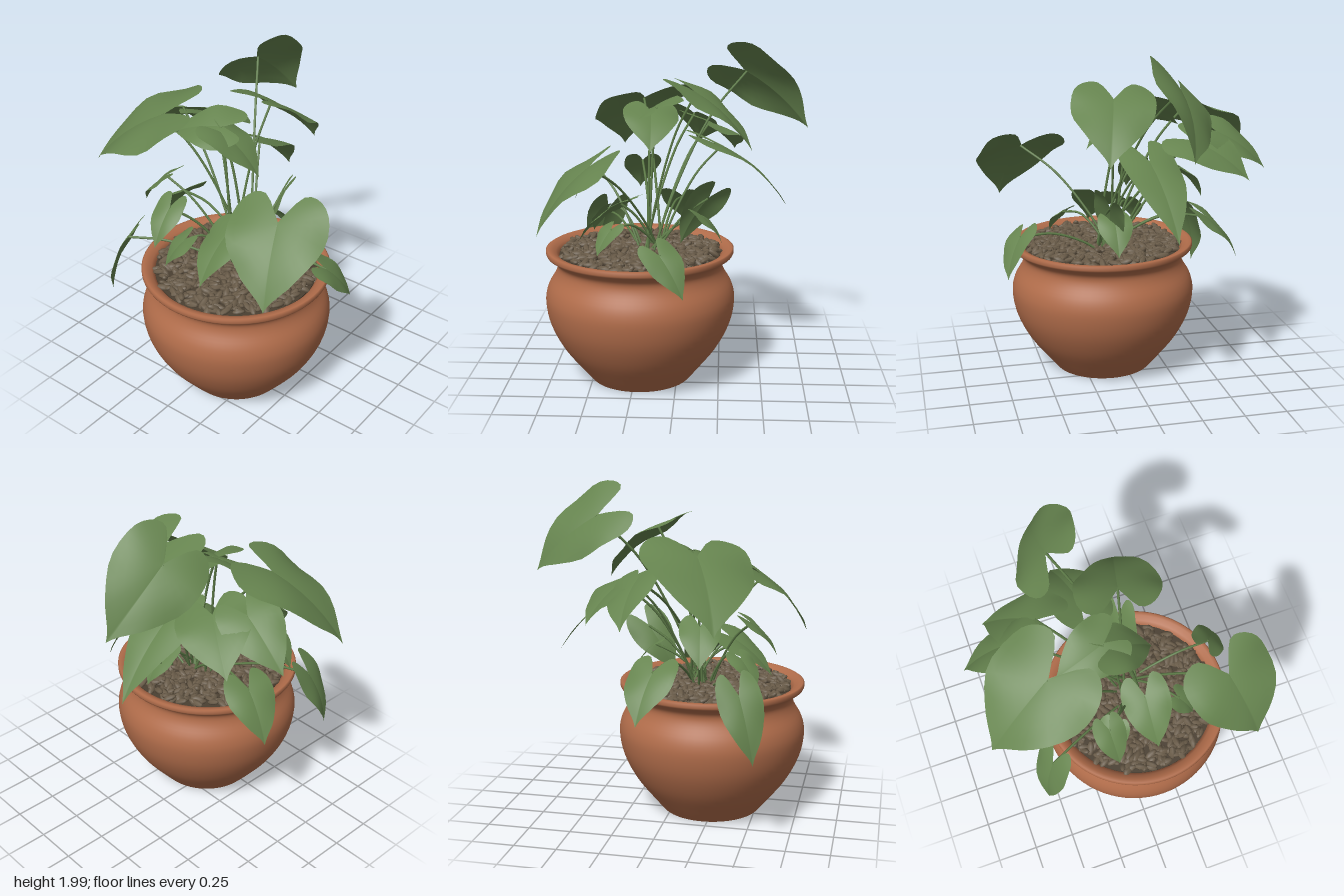
import * as THREE from 'three';
import { mergeGeometries } from 'three/addons/utils/BufferGeometryUtils.js';

const V = (a) => new THREE.Vector3(...a);
const points2 = (list) => list.map((p) => new THREE.Vector2(...p));
const UP = new THREE.Vector3(0, 1, 0);
const CROWN = new THREE.Vector3(0.1, 0.74, 0.15); // where the stems gather
const CX = 0.11, CZ = 0.22; // pot axis

// Heart-shaped half outline: [across, along], stem joint at the origin, tip at along = 1
const HALF = points2([[0, 1], [0.14, 0.88], [0.56, 0.63], [0.96, 0.26], [0.98, -0.12],
  [0.74, -0.33], [0.38, -0.35], [0, -0.03]]);

// Grown leaves: joint, tip, roll about the midrib, half width relative to length
const GROWN = [
  ['backTallLeaf', [-0.2, 1.8, -0.4], [-0.17, 1.47, -0.77], 0.82, 0.5],
  ['backBroadLeaf', [0.11, 1.71, -0.11], [0.2, 1.39, -0.43], 0.08, 0.52],
  ['largeFrontLeaf', [-0.41, 1.61, 0.23], [-0.8, 1.26, 0.39], 0.14, 0.57],
  ['sideLeaf', [-0.52, 1.5, -0.08], [-0.81, 1.27, -0.1], -0.44],
  ['sideBackLeaf', [-0.35, 1.47, -0.18], [-0.63, 1.26, -0.34], -0.3, 0.55],
  ['lowBackLeaf', [-0.07, 1.37, -0.25], [-0.13, 1, -0.65], 0, 0.3],
  ['hangingLeaf', [-0.5, 0.87, 0.48], [-0.57, 0.51, 0.57], -0.48, 0.33],
  ['frontBroadLeaf', [0.57, 1.36, 0.46], [0.68, 1, 0.73], -0.1, 0.58],
  ['centreLeaf', [-0.02, 1.58, 0.16], [0.22, 1.38, 0.15], 0.1, 0.52],
  ['centreSideLeaf', [-0.06, 1.6, 0.13], [-0.36, 1.5, 0.2], 0.4, 0.5],
  ['rimLeaf', [0.64, 0.89, 0.07], [0.73, 0.67, -0.06], -0.42, 0.4],
  ['innerFrontLeaf', [-0.15, 1.21, 0.49], [-0.14, 1.02, 0.64], 0, 0.38],
  ['lowFrontLeaf', [0.13, 1.06, 0.33], [0.13, 0.83, 0.58], -0.2, 0.42],
  ['innerBackLeaf', [0.15, 1.1, -0.18], [0.16, 0.83, -0.02], -1, 0.4],
];

// Young leaves: joint and length; they droop outward from the crown
const YOUNG = [
  [[-0.1, 0.98, 0.43], 0.2], [[0.33, 0.95, 0.37], 0.17], [[0.11, 1, -0.13], 0.22],
  [[-0.39, 1.22, 0.24], 0.25], [[-0.48, 0.97, -0.01], 0.32],
];

// Blade as rings growing outward from the joint, arched and gently waved
function leafGeometry(base, tip, roll = 0, width = 0.46) {
  const Y = tip.clone().sub(base), length = Y.length(), halfWidth = width * length;
  Y.normalize();
  const X = Y.clone().cross(UP).normalize().applyAxisAngle(Y, -roll);
  const Z = X.clone().cross(Y);
  const right = new THREE.SplineCurve(HALF).getPoints(20);
  const left = right.slice(1, -1).reverse().map((p) => new THREE.Vector2(-p.x, p.y));
  const outline = [...right, ...left];
  const n = outline.length, rings = 6, pos = [], index = [];
  for (let r = 0; r <= rings; r++) {
    outline.forEach((o) => {
      const u = o.x * r / rings, v = o.y * r / rings;
      const arch = 0.28 * v * (1 - v) * length;
      const fold = 0.16 * Math.abs(u) * (1 - Math.abs(u) * 1.3) * halfWidth;
      const wave = 0.08 * Math.sin(v * 7 + base.x * 20 + Math.sign(u)) * u * u * halfWidth;
      const p = base.clone().addScaledVector(X, u * halfWidth)
        .addScaledVector(Y, v * length).addScaledVector(Z, arch + fold + wave);
      pos.push(p.x, p.y, p.z);
    });
  }
  for (let r = 0; r < rings; r++) {
    for (let i = 0; i < n; i++) {
      const a = r * n + i, b = r * n + (i + 1) % n;
      index.push(a, b + n, a + n);
      if (r > 0) index.push(a, b, b + n);
    }
  }
  const g = new THREE.BufferGeometry();
  g.setAttribute('position', new THREE.Float32BufferAttribute(pos, 3));
  g.setIndex(index);
  g.computeVertexNormals();
  return g;
}

// Stem rising steeply from the crown, then bending out to the leaf
function stemGeometry(base, i) {
  const a = i * 2.4, low = base.y < 1;
  const root = CROWN.clone().add(new THREE.Vector3(0.06 * Math.cos(a), 0, 0.06 * Math.sin(a)));
  const at = (h, v) => new THREE.Vector3().lerpVectors(root, base, h)
    .setY(THREE.MathUtils.lerp(root.y, base.y, v));
  const curve = new THREE.CatmullRomCurve3(
    [root, at(0.25, low ? 0.6 : 0.38), at(0.62, low ? 1.05 : 0.77), base]);
  return new THREE.TubeGeometry(curve, 20, 0.0075, 6);
}

// Flattened, pointed pebbles scattered over the soil in a sunflower spiral
function pebbleGeometry(count) {
  let seed = 7;
  const rnd = () => (seed = (seed * 16807) % 2147483647) / 2147483647;
  const parts = [], m = new THREE.Matrix4(), q = new THREE.Quaternion(), e = new THREE.Euler();
  for (let i = 0; i < count; i++) {
    const r = 0.46 * Math.sqrt((i + 0.5) / count), a = i * 2.39996 + rnd() * 0.2;
    const s = 0.02 + rnd() * 0.008;
    q.setFromEuler(e.set((rnd() - 0.5) * 0.9, rnd() * 6.28, (rnd() - 0.5) * 0.9));
    m.compose(new THREE.Vector3(CX + r * Math.cos(a), 0.768 + rnd() * 0.018, CZ + r * Math.sin(a)),
      q, new THREE.Vector3(s * 1.7, s * 0.7, s * 0.85));
    parts.push(new THREE.SphereGeometry(1, 6, 5).rotateZ(Math.PI / 2).applyMatrix4(m));
  }
  return mergeGeometries(parts);
}

export function createModel() {
  const model = new THREE.Group();
  model.name = 'pottedPlant';
  const mat = (name, color, side = THREE.FrontSide) => {
    const m = new THREE.MeshStandardMaterial({ color, side });
    m.name = name;
    return m;
  };
  const clay = mat('terracotta', 0xb06c4a, THREE.DoubleSide);
  const soilMat = mat('soil', 0x4a3f31);
  const stoneMat = mat('pebble', 0x6a5c49);
  const leafMat = mat('leafGreen', 0x66844f, THREE.DoubleSide);
  const stemMat = mat('stemGreen', 0x5f7d49);
  const add = (name, geometry, material, parent = model) => {
    const mesh = new THREE.Mesh(geometry, material);
    mesh.name = name;
    parent.add(mesh);
    return mesh;
  };

  // Pot: round belly, pinched neck, flared lip and open inside
  const belly = new THREE.SplineCurve(points2([[0.298, 0], [0.365, 0.08], [0.465, 0.21],
    [0.535, 0.35], [0.56, 0.48], [0.545, 0.57], [0.5, 0.65], [0.487, 0.7], [0.505, 0.735], [0.548, 0.765]]));
  const lip = points2([[0.553, 0.775], [0.553, 0.795], [0.545, 0.8], [0.525, 0.8],
    [0.495, 0.785], [0.475, 0.76], [0.47, 0.7]]);
  add('pot', new THREE.LatheGeometry([...belly.getPoints(36), ...lip], 72), clay).position.set(CX, 0, CZ);
  // Flat foot
  const foot = points2([[0, 0.004], [0.28, 0.004], [0.298, 0]]);
  add('potFoot', new THREE.LatheGeometry(foot, 72), clay).position.set(CX, 0, CZ);

  // Soil and pebbles
  add('soil', new THREE.CylinderGeometry(0.475, 0.47, 0.05, 48), soilMat).position.set(CX, 0.74, CZ);
  add('pebbles', pebbleGeometry(640), stoneMat);

  // Leaves on their stems
  const plant = new THREE.Group();
  plant.name = 'plant';
  model.add(plant);
  const addLeaf = (name, base, tip, i, roll, width) => {
    add(name, leafGeometry(base, tip, roll, width), leafMat, plant);
    add(name + 'Stem', stemGeometry(base, i), stemMat, plant);
  };
  GROWN.forEach(([name, joint, tip, roll, width], i) => addLeaf(name, V(joint), V(tip), i, roll, width));
  YOUNG.forEach(([joint, length], i) => {
    const base = V(joint);
    const fall = base.clone().sub(CROWN).setY(0).setLength(0.6 * length).setY(-0.8 * length);
    addLeaf('youngLeaf' + (i + 1), base, base.clone().add(fall), GROWN.length + i);
  });
  return model;
}
